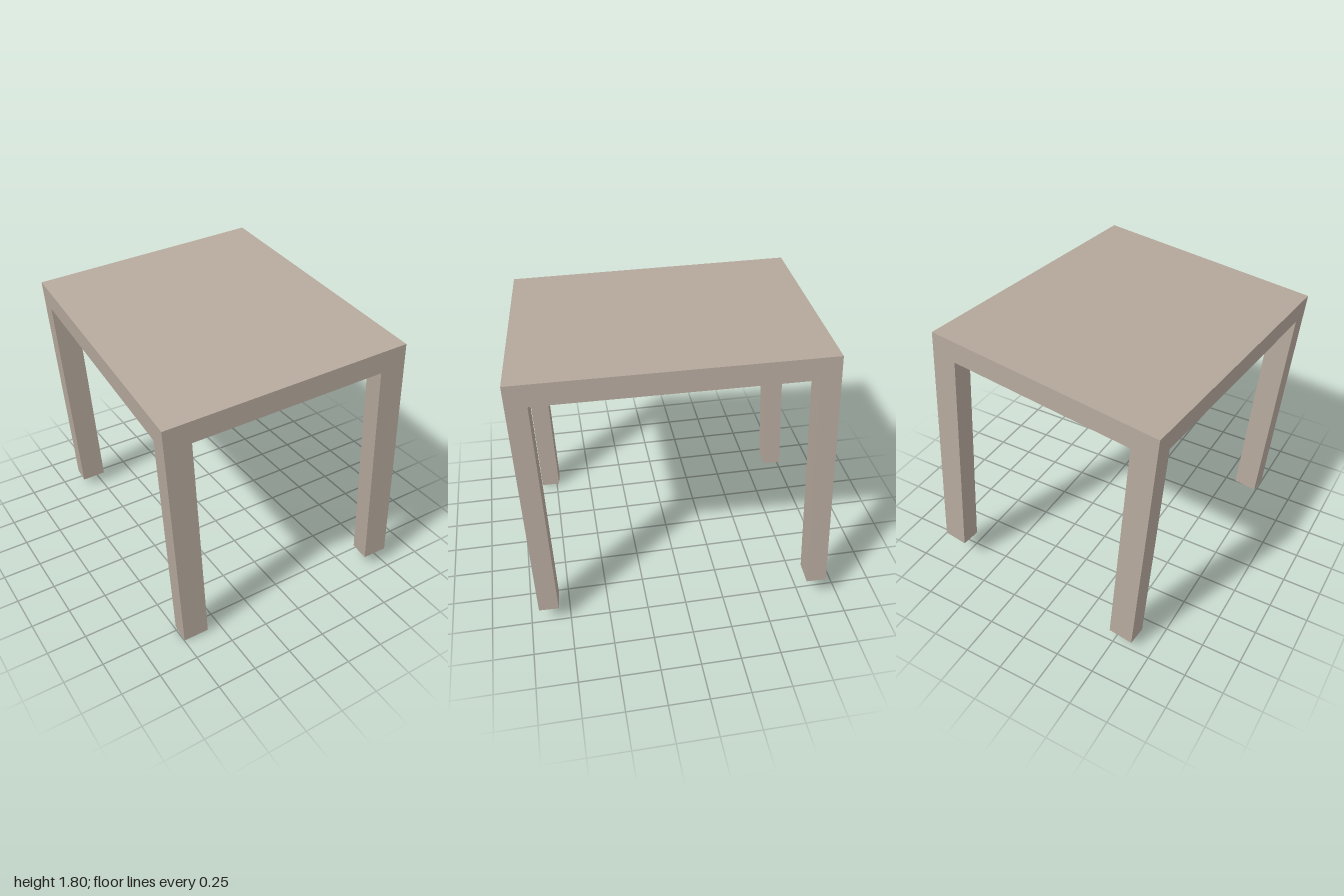
import * as THREE from 'three';

export function createModel() {
  const wood = new THREE.MeshStandardMaterial({ color: 0xb5a89c });
  wood.name = 'warm grey wood';

  // Overall size in the table's own axes
  const W = 1.507, H = 1.625, D = 1.85;
  const topThick = 0.138, legW = 0.16, legD = 0.125;

  const table = new THREE.Group();
  table.name = 'table';

  const addBox = (name, w, h, d, x, y, z) => {
    const mesh = new THREE.Mesh(new THREE.BoxGeometry(w, h, d), wood);
    mesh.name = name;
    mesh.position.set(x, y, z);
    table.add(mesh);
  };

  // Thick slab, flush with the outer faces of the legs
  addBox('tableTop', W, topThick, D, 0, (H - topThick) / 2, 0);

  // Four corner legs
  for (const [sx, side] of [[1, 'Left'], [-1, 'Right']]) {
    for (const [sz, end] of [[1, 'front'], [-1, 'back']]) {
      addBox(`${end}${side}Leg`, legW, H - topThick, legD,
        sx * (W - legW) / 2, -topThick / 2, sz * (D - legD) / 2);
    }
  }

  // The whole table is tilted and slightly turned, resting on one foot corner
  const right = new THREE.Vector3(1.5, 0.11, 0.1).normalize();
  const up = new THREE.Vector3(-0.12, 1.62, 0.05);
  up.addScaledVector(right, -up.dot(right)).normalize();
  const front = new THREE.Vector3().crossVectors(right, up);
  table.quaternion.setFromRotationMatrix(new THREE.Matrix4().makeBasis(right, up, front));
  table.position.y = (W * right.y + H * up.y + D * Math.abs(front.y)) / 2;

  const model = new THREE.Group();
  model.name = 'tiltedTable';
  model.add(table);
  return model;
}
